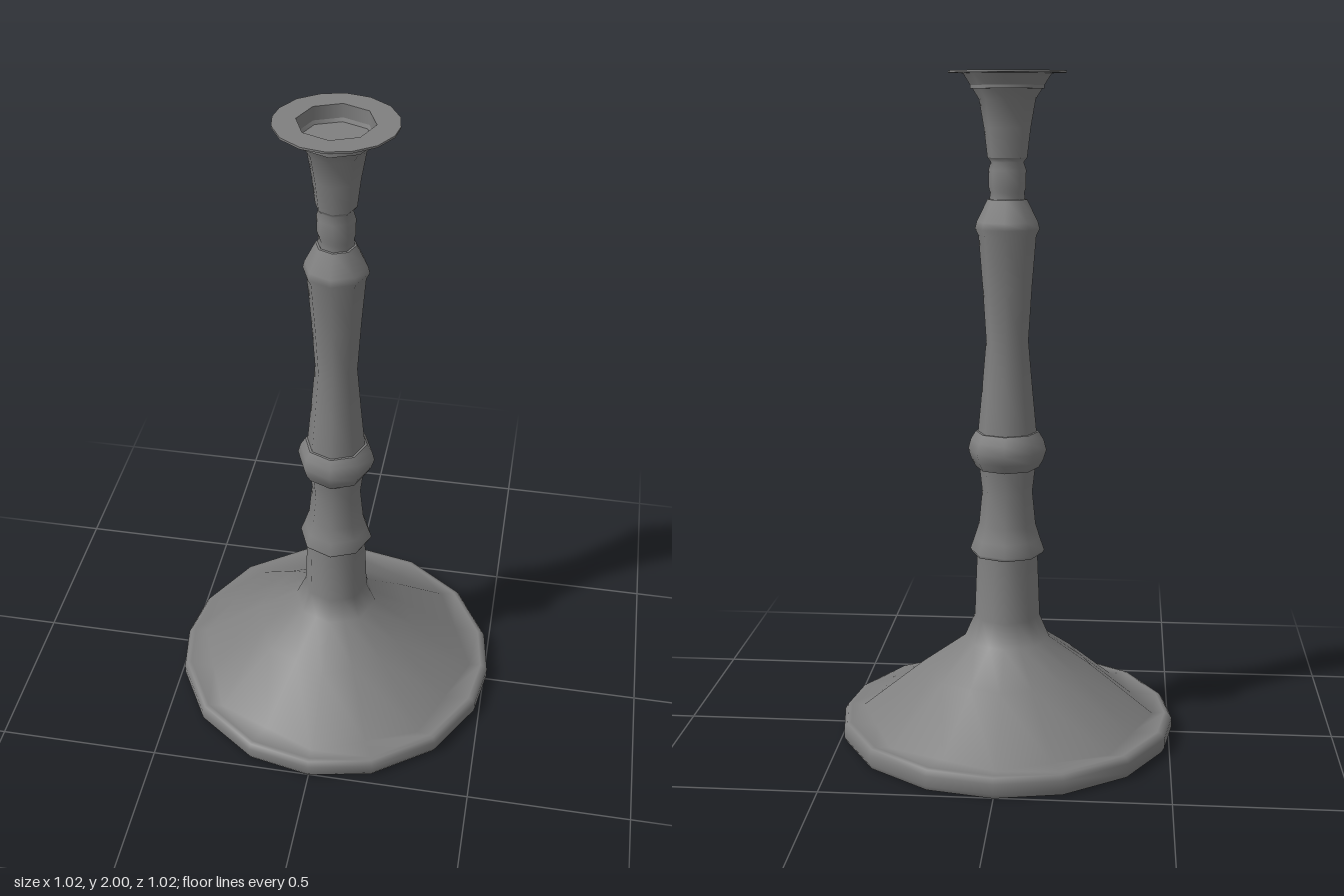
import * as THREE from 'three';

const material = new THREE.MeshStandardMaterial({ color: 0x808080, side: THREE.DoubleSide });

// Turned part from [radius, height] pairs, listed so that outer walls run upward
function turned(name, sides, profile) {
  const points = profile.map(([r, y]) => new THREE.Vector2(r, y));
  const mesh = new THREE.Mesh(new THREE.LatheGeometry(points, sides), material);
  mesh.name = name;
  return mesh;
}

// Reshape a sixteen-sided part: rings up to octagonRadius become eight-sided,
// wider rings get slightly uneven corners, mirrored in each quadrant
function shapeCorners(mesh, octagonRadius = 0) {
  const steps = [0, 22.7, 47.9, 71.9, 90];
  const p = mesh.geometry.attributes.position;
  for (let i = 0; i < p.count; i++) {
    const x = p.getX(i), z = p.getZ(i), r = Math.hypot(x, z);
    const k = Math.round(Math.atan2(Math.abs(x), Math.abs(z)) / (Math.PI / 8));
    if (r <= octagonRadius) {
      const flat = k % 2 ? Math.cos(Math.PI / 8) : 1;
      p.setX(i, x * flat);
      p.setZ(i, z * flat);
    } else {
      const a = THREE.MathUtils.degToRad(steps[k]);
      p.setX(i, Math.sign(x) * r * Math.sin(a));
      p.setZ(i, Math.sign(z) * r * Math.cos(a));
    }
  }
  mesh.geometry.computeBoundingSphere();
  return mesh;
}

export function createModel() {
  const model = new THREE.Group();
  model.name = 'candlestick';

  // Foot: rounded rim running smoothly into a hollow eight-sided dome, open below
  model.add(
    shapeCorners(turned('footUnderside', 16, [[0.47, 0.05], [0.475, 0], [0.502, 0]])),
    shapeCorners(turned('foot', 16, [
      [0.502, 0], [0.51, 0.015], [0.51, 0.045], [0.5, 0.06], [0.487, 0.062],
      [0.45, 0.058], [0.26, 0.21], [0.13, 0.3], [0.1, 0.37], [0.092, 0.57]
    ]), 0.46)
  );

  // Stem: flared collar, bulging knop and waisted shaft
  model.add(
    turned('collarUnderside', 8, [[0.08, 0.565], [0.108, 0.568]]),
    turned('lowerStem', 8, [[0.108, 0.568], [0.113, 0.578], [0.1, 0.615], [0.086, 0.66], [0.076, 0.76], [0.085, 0.84]]),
    turned('knopUnderside', 8, [[0.07, 0.835], [0.095, 0.835]]),
    turned('knop', 8, [[0.095, 0.835], [0.109, 0.86], [0.118, 0.89], [0.11, 0.92], [0.095, 0.945]]),
    turned('knopTop', 8, [[0.095, 0.945], [0.07, 0.945]]),
    turned('upperStem', 8, [[0.088, 0.945], [0.075, 1.08], [0.063, 1.22], [0.073, 1.38], [0.085, 1.53], [0.095, 1.55], [0.09, 1.57], [0.058, 1.635]]),
    turned('stemShoulder', 8, [[0.058, 1.635], [0.04, 1.637]])
  );

  // Neck and candle cup, thin drip plate and recessed socket
  model.add(
    turned('neck', 8, [[0.052, 1.635], [0.05, 1.655], [0.055, 1.67], [0.055, 1.72], [0.048, 1.742], [0.058, 1.755]]),
    turned('cup', 8, [[0.058, 1.755], [0.068, 1.84], [0.082, 1.92], [0.128, 1.993]]),
    shapeCorners(turned('dripPlateUnderside', 16, [[0.11, 1.993], [0.17, 1.994]])),
    shapeCorners(turned('dripPlateEdge', 16, [[0.17, 1.994], [0.17, 2]])),
    turned('socketWall', 8, [[0.107, 2], [0.107, 1.95]]),
    turned('socketFloor', 8, [[0.107, 1.95], [0, 1.95]])
  );

  // Sixteen-sided plate top with an eight-sided opening
  const plate = new THREE.Shape();
  for (let q = 0; q < 4; q++) {
    const quarter = q % 2 ? [0, 18.1, 42.1, 67.3] : [0, 22.7, 47.9, 71.9];
    for (const d of quarter) {
      const a = THREE.MathUtils.degToRad(90 * q + d);
      const x = 0.17 * Math.sin(a), y = 0.17 * Math.cos(a);
      if (q === 0 && d === 0) plate.moveTo(x, y);
      else plate.lineTo(x, y);
    }
  }
  const opening = [];
  for (let i = 0; i < 8; i++) {
    const a = i * Math.PI / 4;
    opening.push(new THREE.Vector2(0.107 * Math.sin(a), 0.107 * Math.cos(a)));
  }
  plate.holes.push(new THREE.Path(opening));
  const plateTop = new THREE.Mesh(new THREE.ShapeGeometry(plate), material);
  plateTop.name = 'dripPlateTop';
  plateTop.rotation.x = -Math.PI / 2;
  plateTop.position.y = 2;
  model.add(plateTop);

  return model;
}
